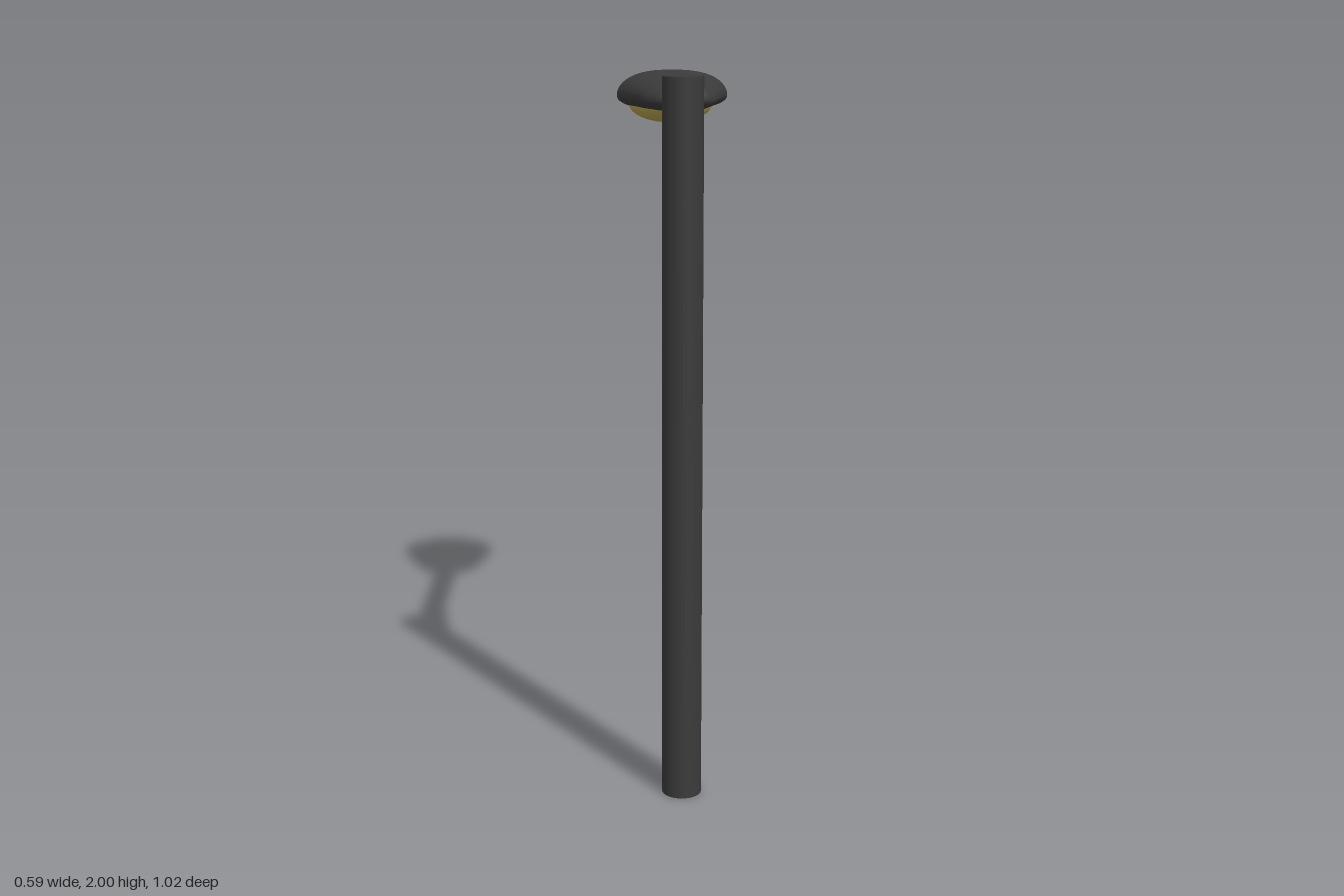
import * as THREE from 'three';

const metal = new THREE.MeshStandardMaterial({ color: 0x3a3a3a });
const glass = new THREE.MeshStandardMaterial({ color: 0xb5a04c });

function part(name, geometry, material = metal) {
  const mesh = new THREE.Mesh(geometry, material);
  mesh.name = name;
  return mesh;
}

// Round bar between two points
function bar(name, a, b, radius) {
  const dir = b.clone().sub(a);
  const mesh = part(name, new THREE.CylinderGeometry(radius, radius, dir.length(), 32));
  mesh.position.copy(a).add(b).multiplyScalar(0.5);
  mesh.quaternion.setFromUnitVectors(new THREE.Vector3(0, 1, 0), dir.normalize());
  return mesh;
}

// Lamp head: two half-circle lobes joined by straight sides, lofted with a rounded profile
function lampHeadGeometry() {
  const lobes = [
    { x: -0.127, z: -0.345, r: 0.17, up: 0.077, down: 0.043, start: -27 },
    { x: -0.055, z: -0.215, r: 0.12, up: 0.052, down: 0.036, start: 152 },
  ];
  const arc = 28, levels = 24, midY = 1.892;
  const count = 2 * (arc + 1);
  const positions = [], index = [];
  for (let j = 0; j <= levels; j++) {
    const phi = (j / levels - 0.5) * Math.PI;
    const scale = j % levels === 0 ? 0 : Math.pow(Math.cos(phi), 0.75);
    for (const l of lobes) {
      for (let i = 0; i <= arc; i++) {
        const a = THREE.MathUtils.degToRad(l.start - (180 * i) / arc);
        positions.push(
          l.x + l.r * scale * Math.cos(a),
          midY + Math.sin(phi) * (phi > 0 ? l.up : l.down),
          l.z + l.r * scale * Math.sin(a)
        );
      }
    }
  }
  for (let j = 0; j < levels; j++) {
    for (let i = 0; i < count; i++) {
      const a = j * count + i, b = j * count + ((i + 1) % count);
      index.push(a, b, b + count, a, b + count, a + count);
    }
  }
  const geometry = new THREE.BufferGeometry();
  geometry.setAttribute('position', new THREE.Float32BufferAttribute(positions, 3));
  geometry.setIndex(index);
  geometry.computeVertexNormals();
  return geometry;
}

export function createModel() {
  const group = new THREE.Group();
  group.name = 'streetLamp';
  const poleX = 0.235, poleZ = 0.455;

  // Point on the vertical plane through the pole and the arm
  const onArm = (z, y) => new THREE.Vector3(poleX + (z - poleZ) * 0.425, y, z);

  // Upright pole
  group.add(bar('pole', new THREE.Vector3(poleX, 0, poleZ), new THREE.Vector3(poleX, 2, poleZ), 0.055));

  // Horizontal arm and its diagonal brace
  group.add(bar('arm', onArm(poleZ, 1.9), onArm(-0.2, 1.9), 0.037));
  group.add(bar('brace', onArm(0.43, 1.737), onArm(0.17, 1.89), 0.018));

  // Lamp head with the domed lens below
  group.add(part('lampHead', lampHeadGeometry()));
  const lens = part('lens', new THREE.SphereGeometry(1, 40, 24), glass);
  lens.scale.set(0.127, 0.055, 0.127);
  lens.position.set(-0.135, 1.865, -0.352);
  group.add(lens);

  return group;
}
